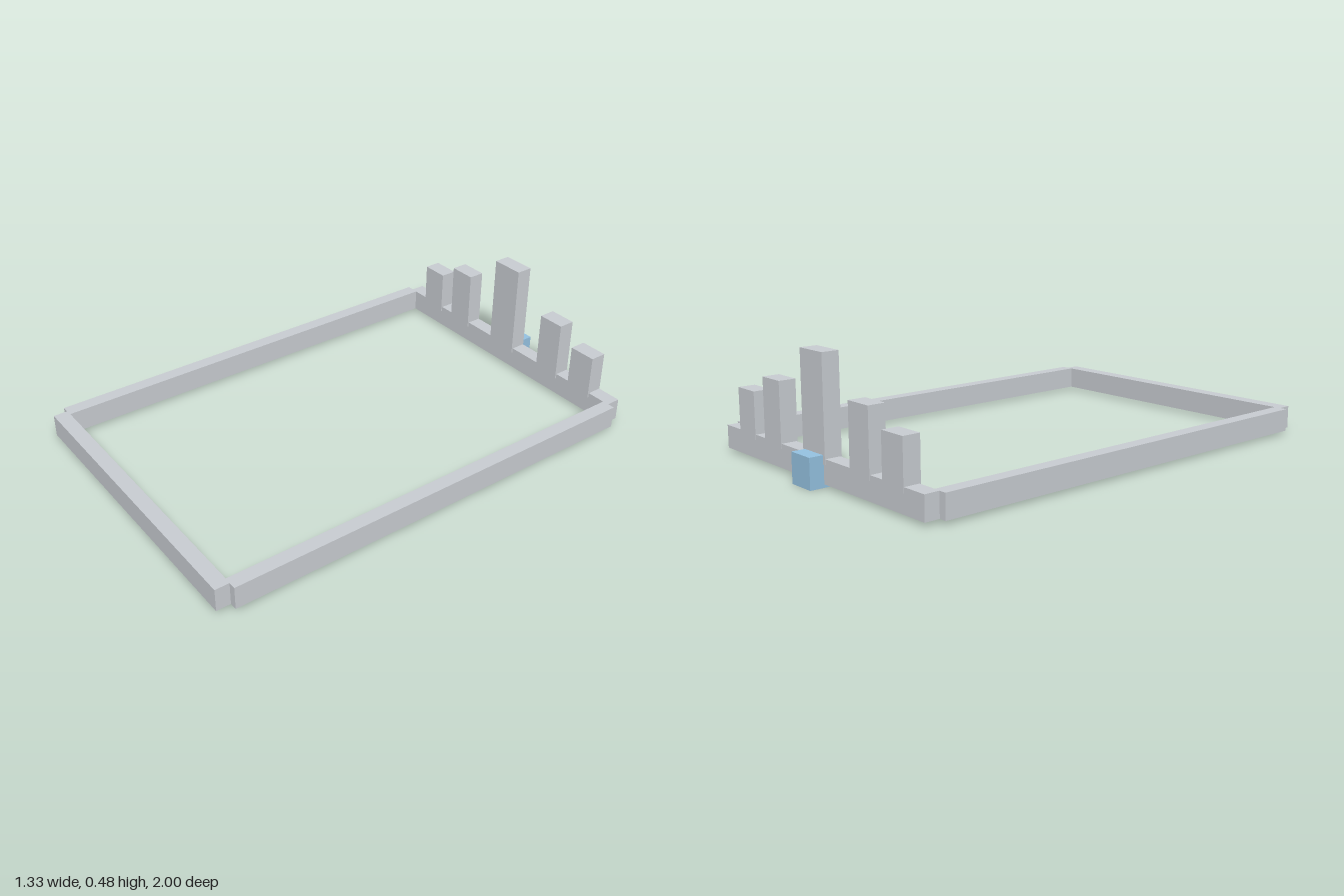
import * as THREE from 'three';

export function createModel() {
  const model = new THREE.Group();
  model.name = 'bedFrame';

  const grey = new THREE.MeshStandardMaterial({ name: 'frameGrey', color: 0xc8ccd1 });
  const blue = new THREE.MeshStandardMaterial({ name: 'blockBlue', color: 0x94c1e0 });

  // Box given by its lower and upper corners
  function box(name, material, [x0, y0, z0], [x1, y1, z1]) {
    const mesh = new THREE.Mesh(new THREE.BoxGeometry(x1 - x0, y1 - y0, z1 - z0), material);
    mesh.position.set((x0 + x1) / 2, (y0 + y1) / 2, (z0 + z1) / 2);
    mesh.name = name;
    model.add(mesh);
  }

  const low = 0.013, high = 0.106;

  // Rails at the front and back
  box('frontRail', grey, [-0.637, low, 0.94], [0.637, high, 1]);
  box('backRail', grey, [-0.637, low, -0.942], [0.637, high, -0.88]);

  // Side rails, stepped out slightly past the end rails
  for (const [name, s] of [['leftRail', 1], ['rightRail', -1]]) {
    const xs = [s * 0.61, s * 0.667].sort((a, b) => a - b);
    box(name, grey, [xs[0], low, -0.882], [xs[1], high, 0.942]);
  }

  // Upright posts on the back rail, tallest in the middle
  const posts = [
    ['centrePost', 0, 0.141, 0.485],
    ['leftInnerPost', 0.283, 0.117, 0.342],
    ['rightInnerPost', -0.283, 0.117, 0.342],
    ['leftOuterPost', 0.472, 0.117, 0.274],
    ['rightOuterPost', -0.472, 0.117, 0.274],
  ];
  for (const [name, x, w, top] of posts) {
    box(name, grey, [x - w / 2, high - 0.02, -0.944], [x + w / 2, top, -0.874]);
  }

  // Block behind the middle of the back rail
  box('backBlock', blue, [-0.059, 0, -1], [0.059, 0.119, -0.905]);

  return model;
}
